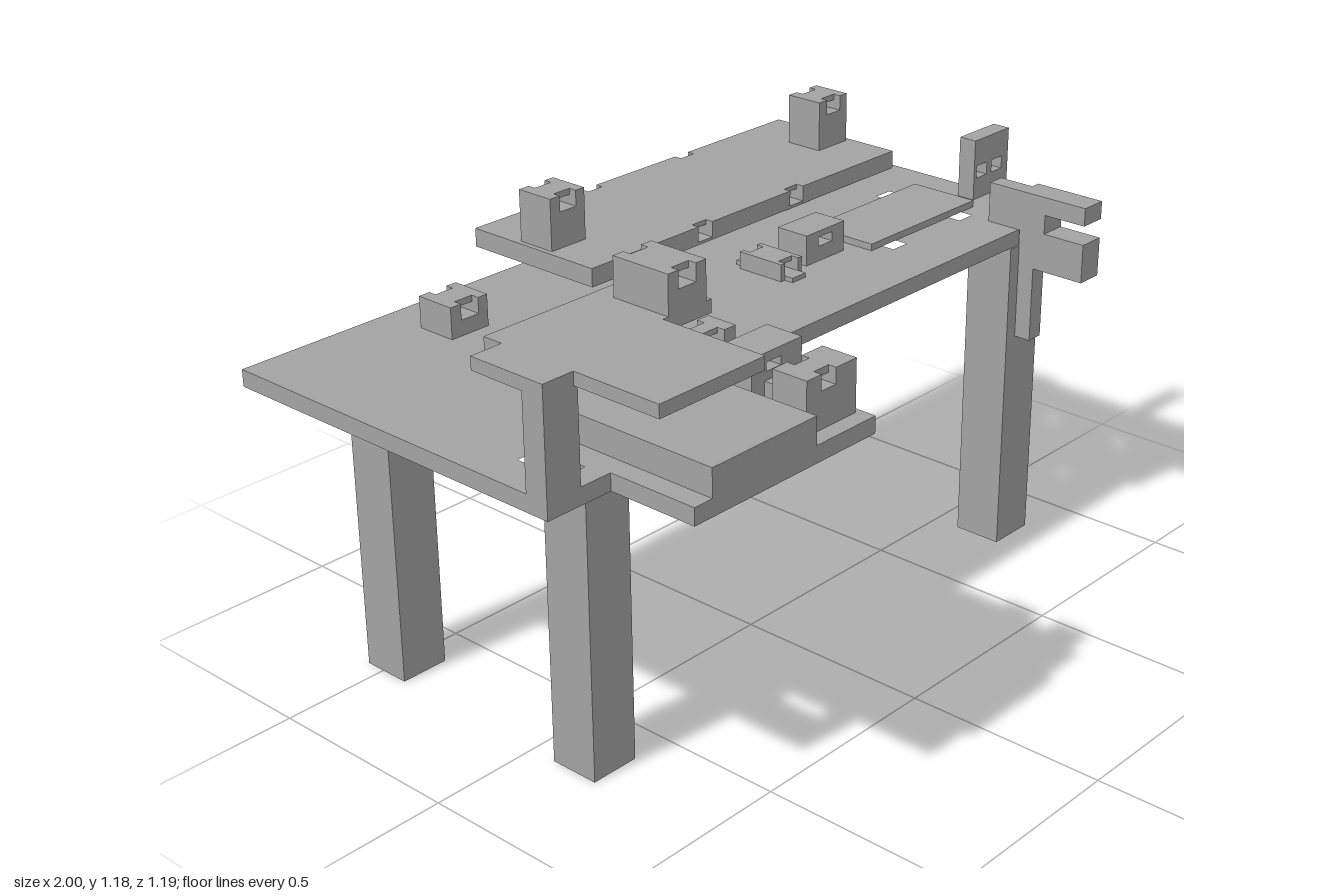
import * as THREE from 'three';

const grey = new THREE.MeshStandardMaterial({ color: 0xa3a3a3 });
grey.name = 'plain grey';

function polygon(points, holes = []) {
  const shape = new THREE.Shape(points.map(p => new THREE.Vector2(...p)));
  for (const h of holes) shape.holes.push(new THREE.Path(h.map(p => new THREE.Vector2(...p))));
  return shape;
}
const rect = (x0, x1, y0, y1) => [[x0, y0], [x1, y0], [x1, y1], [x0, y1]];

function add(parent, name, geometry) {
  const mesh = new THREE.Mesh(geometry, grey);
  mesh.name = name;
  parent.add(mesh);
  return mesh;
}
function box(parent, name, x0, x1, y0, y1, z0, z1) {
  const g = new THREE.BoxGeometry(x1 - x0, y1 - y0, z1 - z0);
  return add(parent, name, g.translate((x0 + x1) / 2, (y0 + y1) / 2, (z0 + z1) / 2));
}
// Outline in x/y, extruded along z
function alongZ(parent, name, shape, z0, z1) {
  const g = new THREE.ExtrudeGeometry(shape, { depth: z1 - z0, bevelEnabled: false });
  return add(parent, name, g.translate(0, 0, z0));
}
// Outline in x/z, extruded upward
function upward(parent, name, points, holes, y0, y1) {
  const flip = list => list.map(([x, z]) => [x, -z]);
  const g = new THREE.ExtrudeGeometry(polygon(flip(points), holes.map(flip)), { depth: y1 - y0, bevelEnabled: false });
  return add(parent, name, g.rotateX(-Math.PI / 2).translate(0, y0, 0));
}
// Block with tunnels through z; at both ends the tunnels are open to the top for depth n
function clipBlock(parent, name, x0, x1, y0, y1, z0, z1, tunnels, h0, h1, n = 0.02) {
  const group = new THREE.Group();
  group.name = name;
  parent.add(group);
  const closed = polygon(rect(x0, x1, y0, y1), tunnels.map(([a, b]) => rect(a, b, h0, h1)));
  alongZ(group, name + 'Body', closed, z0 + n, z1 - n);
  if (!n) return;
  const outline = [[x0, y0], [x1, y0], [x1, y1]];
  for (const [a, b] of [...tunnels].reverse()) outline.push([b, y1], [b, h0], [a, h0], [a, y1]);
  outline.push([x0, y1]);
  for (const z of [z0, z1 - n]) alongZ(group, name + 'Notch', polygon(outline), z, z + n);
}

export function createModel() {
  const model = new THREE.Group();
  model.name = 'workbenchFrame';

  // Table slab with cable slots
  const slots = [[-0.91, -0.845, 0.2, 0.32]];
  for (const x of [0.46, 0.72]) slots.push([x, x + 0.05, -0.215, -0.18], [x, x + 0.05, 0.012, 0.045]);
  upward(model, 'tableSlab', [[-1, -0.55], [0.935, -0.55], [0.935, 0.19], [-0.29, 0.19], [-0.29, 0.595],
    [-0.83, 0.595], [-0.83, 0.375], [-1, 0.375]], slots.map(s => rect(...s)), 0.805, 0.845);

  // Three legs, each with a wedge pocket and a round hole in the foot
  for (const [x, z] of [[-0.663, 0.132], [-0.663, -0.488], [0.793, 0.132]]) {
    const leg = new THREE.Group();
    leg.name = 'leg';
    leg.position.set(x, 0, z);
    model.add(leg);
    const r = 0.0625, c = [];
    for (let i = 0; i < 24; i++) c.push([0.024 * Math.cos(i * Math.PI / 12), 0.024 * Math.sin(i * Math.PI / 12)]);
    upward(leg, 'legFoot', rect(-r, r, -r, r), [c], 0, 0.063);
    upward(leg, 'legPocket', [[-r, -r], [r, -r], [r, -0.047], [0, 0], [r, 0.047], [r, r], [-r, r]], [], 0.063, 0.105);
    box(leg, 'legPost', -r, r, 0.105, 0.805, -r, r);
  }

  // Upper shelf, its post and the low block beneath
  upward(model, 'upperShelf', [[-0.92, 0.13], [-0.49, 0.13], [-0.49, 0.33], [-0.63, 0.33], [-0.63, 0.595],
    [-0.92, 0.595], [-0.92, 0.375], [-1, 0.375], [-1, 0.18], [-0.92, 0.18]], [], 1.06, 1.09);
  box(model, 'shelfPost', -1, -0.91, 0.845, 1.06, 0.318, 0.375);
  box(model, 'lowBlock', -0.78, -0.475, 0.845, 0.91, 0.13, 0.595);
  clipBlock(model, 'shelfTower', -0.615, -0.505, 1.09, 1.18, 0.18, 0.33, [[-0.585, -0.535]], 1.14, 1.165);

  // Clip blocks beside the low block
  const gap = [[-0.415, -0.37]];
  clipBlock(model, 'rearClip', -0.44, -0.335, 0.845, 0.963, 0.178, 0.255, gap, 0.93, 0.95);
  clipBlock(model, 'middleClip', -0.46, -0.305, 0.845, 0.972, 0.315, 0.41, gap, 0.93, 0.95, 0);
  clipBlock(model, 'frontClip', -0.46, -0.305, 0.845, 0.967, 0.465, 0.555, gap, 0.93, 0.95);
  box(model, 'clipBridge', -0.42, -0.305, 0.845, 0.91, 0.41, 0.465);

  // Long raised board with supports and two towers
  clipBlock(model, 'longBoard', -0.288, 0.78, 0.905, 0.95, -0.595, -0.215, [[0.06, 0.107], [0.385, 0.432]], 0.912, 0.938);
  for (const x of [-0.085, 0.49]) box(model, 'boardSupport', x, x + 0.09, 0.845, 0.905, -0.445, -0.32);
  for (const x of [-0.275, 0.658])
    clipBlock(model, 'boardTower', x, x + 0.107, 0.95, 1.075, -0.455, -0.355, [[x + 0.03, x + 0.08]], 1.037, 1.06);
  clipBlock(model, 'slabTower', -0.6, -0.493, 0.845, 0.92, -0.437, -0.335, [[-0.57, -0.52]], 0.882, 0.905);

  // Small blocks along the middle
  for (const x of [-0.6, 0.24])
    clipBlock(model, 'smallBlock', x, x + 0.137, 0.845, 0.92, -0.128, -0.04, [[x + 0.043, x + 0.093]], 0.882, 0.905, 0);
  for (const x of [-0.38, 0.127]) {
    clipBlock(model, 'smallClip', x, x + 0.073, 0.845, 0.887, -0.147, -0.02, [[x + 0.013, x + 0.06]], 0.855, 0.875);
    for (const z of [-0.17, -0.02]) box(model, 'clipTab', x + 0.013, x + 0.06, 0.845, 0.856, z, z + 0.023);
  }
  box(model, 'thinPlate', 0.418, 0.82, 0.845, 0.862, -0.172, 0.012);

  // Upright tab with two holes
  alongZ(model, 'edgeTab', polygon(rect(0.86, 1, 0.845, 1),
    [rect(0.87, 0.912, 0.9, 0.932), rect(0.932, 0.974, 0.9, 0.932)]), -0.065, -0.018);

  // Forked hook on the front edge
  box(model, 'hookArm', 0.765, 0.81, 0.845, 0.945, 0.1, 0.193);
  box(model, 'hookBack', 0.765, 0.835, 0.755, 0.945, 0.193, 0.265);
  box(model, 'hookUpperProng', 0.765, 0.835, 0.9, 0.945, 0.265, 0.378);
  box(model, 'hookLowerProng', 0.765, 0.835, 0.755, 0.852, 0.265, 0.378);
  box(model, 'hookFoot', 0.765, 0.81, 0.565, 0.755, 0.193, 0.238);

  return model;
}
